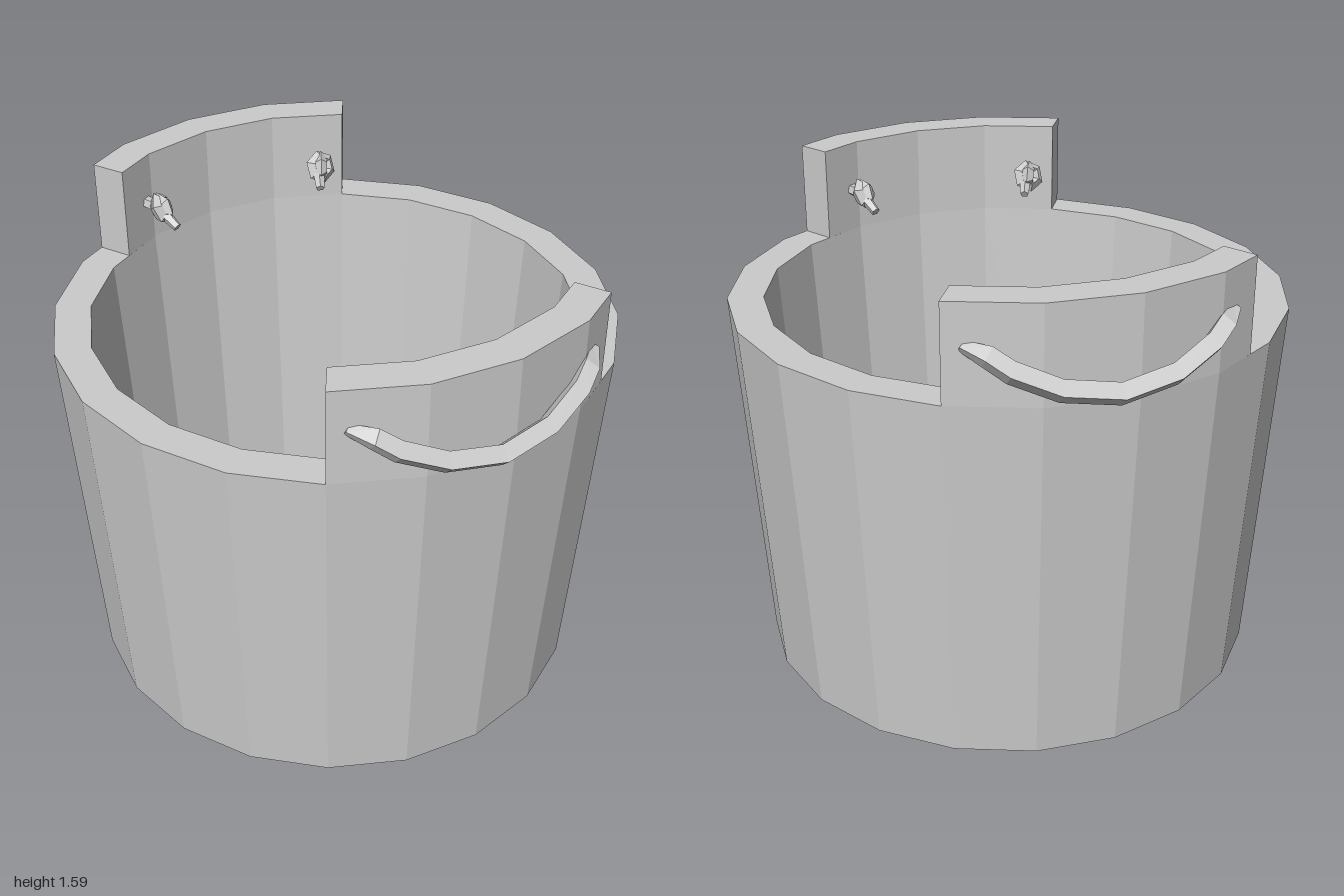
import * as THREE from 'three';

const SIDES = 20;
const STEP = (Math.PI * 2) / SIDES;
const RIM = 1.27, TOP = 1.59;
const OUTER = 0.93, INNER = 0.81;

const material = new THREE.MeshStandardMaterial({ color: 0xcccccc, flatShading: true });

function mesh(name, geometry, parent) {
  const m = new THREE.Mesh(geometry, material);
  m.name = name;
  parent.add(m);
  return m;
}

// Tapered tub wall with rim and floor, turned as one closed profile
function tubGeometry() {
  const profile = [[0, 0], [0.85, 0], [OUTER, RIM], [INNER, RIM], [0.74, 0.02], [0, 0.02]];
  return new THREE.LatheGeometry(profile.map(([x, y]) => new THREE.Vector2(x, y)), SIDES);
}

// Raised part of the wall: a faceted arc that stops part way along its last facet
function raisedWallGeometry() {
  const arc = (r) => [-2, -1, 0, 1].map((i) => [r * Math.sin(i * STEP), r * Math.cos(i * STEP)]);
  const outline = [...arc(OUTER), [0.445, 0.804], [0.393, 0.698], ...arc(INNER).reverse()];
  const shape = new THREE.Shape(outline.map(([x, z]) => new THREE.Vector2(x, -z)));
  const geometry = new THREE.ExtrudeGeometry(shape, { depth: TOP - RIM, bevelEnabled: false });
  return geometry.rotateX(-Math.PI / 2).translate(0, RIM, 0);
}

// Drooping handle: a square section swept along a tilted, mirrored path
function handleGeometry() {
  // x, y, z, turn of the section, section scale
  const half = [
    [0, 1.31, 0.968, 0, 1],
    [0.175, 1.337, 0.948, 0.26, 1],
    [0.31, 1.395, 0.903, 0.5, 1],
    [0.368, 1.437, 0.868, 0.65, 0.95],
    [0.425, 1.455, 0.81, 0.8, 0.5],
  ];
  const path = [...half.slice(1).reverse().map(([x, y, z, t, s]) => [-x, y, z, -t, s]), ...half];
  const n = new THREE.Vector3(0, 0.69, 0.72);
  const d = new THREE.Vector3(0, -0.72, 0.69);
  const positions = [], index = [];
  for (const [x, y, z, turn, s] of path) {
    const r = d.clone().multiplyScalar(Math.cos(turn));
    r.x = Math.sin(turn);
    for (const [a, b] of [[1, 1], [-1, 1], [-1, -1], [1, -1]]) {
      const p = new THREE.Vector3(x, y, z)
        .addScaledVector(n, a * 0.024 * s)
        .addScaledVector(r, b * 0.027 * s);
      positions.push(p.x, p.y, p.z);
    }
  }
  for (let i = 0; i < path.length - 1; i++) {
    for (let j = 0; j < 4; j++) {
      const a = i * 4 + j, b = i * 4 + ((j + 1) % 4);
      index.push(a, b, a + 4, b, b + 4, a + 4);
    }
  }
  const e = (path.length - 1) * 4;
  index.push(2, 1, 0, 3, 2, 0, e, e + 1, e + 2, e, e + 2, e + 3);
  const geometry = new THREE.BufferGeometry();
  geometry.setAttribute('position', new THREE.Float32BufferAttribute(positions, 3));
  geometry.setIndex(index);
  geometry.computeVertexNormals();
  return geometry;
}

// Rope knot: two crossed low-poly loops with a stem into the wall and a loose end
function makeKnot(turn) {
  const knot = new THREE.Group();
  knot.name = 'knot';
  const loopA = mesh('knotLoop', new THREE.TorusGeometry(0.036, 0.023, 4, 6), knot);
  loopA.rotation.set(0.5, 0.4, 0.3);
  const loopB = mesh('knotLoop', new THREE.TorusGeometry(0.034, 0.022, 4, 6), knot);
  loopB.rotation.set(-0.5, 1.5, 0.4);
  const stem = mesh('knotStem', new THREE.CylinderGeometry(0.022, 0.022, 0.09, 5), knot);
  stem.rotation.x = Math.PI / 2;
  stem.position.z = 0.045;
  const end = mesh('knotEnd', new THREE.CylinderGeometry(0.016, 0.022, 0.08, 5), knot);
  end.position.set(0.01, -0.025, -0.045);
  end.rotation.x = -2.1;
  knot.rotation.y = turn;
  return knot;
}

// One raised wall with its handle and the two knots holding it
function makeHandleSide(name) {
  const side = new THREE.Group();
  side.name = name;
  mesh('raisedWall', raisedWallGeometry(), side);
  const grip = new THREE.Group();
  grip.name = 'handleAssembly';
  grip.rotation.y = -0.083;
  mesh('handle', handleGeometry(), grip);
  for (const s of [-1, 1]) {
    const knot = makeKnot(s * 0.4);
    knot.position.set(s * 0.315, 1.42, 0.665);
    grip.add(knot);
  }
  side.add(grip);
  return side;
}

export function createModel() {
  const model = new THREE.Group();
  model.name = 'bucket';
  mesh('tub', tubGeometry(), model);
  model.add(makeHandleSide('frontSide'));
  const back = makeHandleSide('backSide');
  back.rotation.y = Math.PI;
  model.add(back);
  return model;
}
